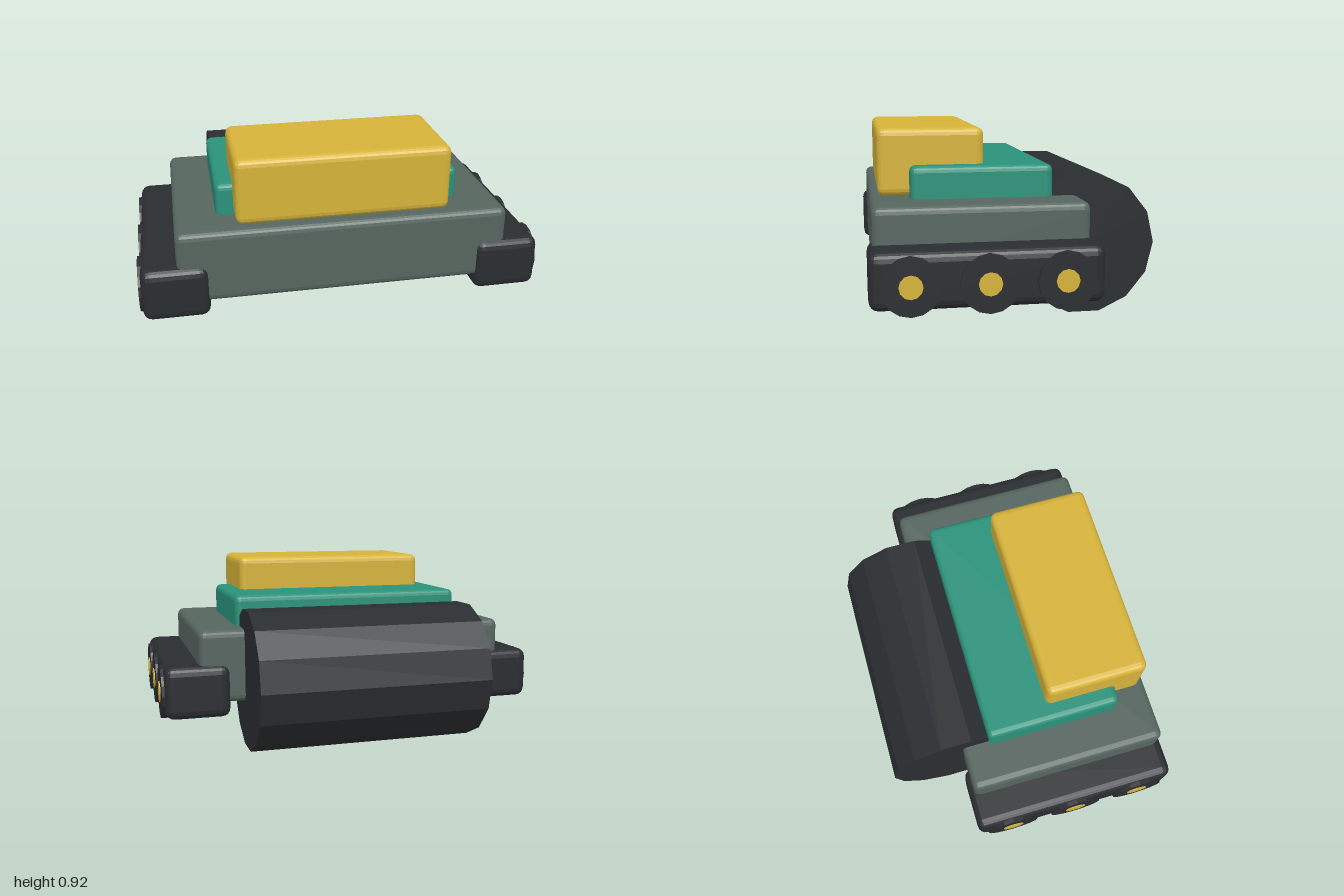
import * as THREE from 'three';
import { RoundedBoxGeometry } from 'three/addons/geometries/RoundedBoxGeometry.js';

const paint = (color) => new THREE.MeshStandardMaterial({ color, flatShading: true });

export function createModel() {
  const model = new THREE.Group();
  const dark = paint(0x2a2d30);
  const grey = paint(0x56655f);
  const teal = paint(0x2a927a);
  const yellow = paint(0xd6b33a);

  const add = (name, geometry, material, x, y, z) => {
    const mesh = new THREE.Mesh(geometry, material);
    mesh.name = name;
    mesh.position.set(x, y, z);
    model.add(mesh);
    return mesh;
  };

  // Bevelled block given by its extents on each axis
  const block = (name, material, [x0, x1], [y0, y1], [z0, z1], bevel) =>
    add(name, new RoundedBoxGeometry(x1 - x0, y1 - y0, z1 - z0, 2, bevel), material,
      (x0 + x1) / 2, (y0 + y1) / 2, (z0 + z1) / 2);

  // Cylinder lying along x
  const roller = (name, material, radius, width, sides, x, y, z) =>
    add(name, new THREE.CylinderGeometry(radius, radius, width, sides).rotateZ(Math.PI / 2), material, x, y, z);

  // Hull, deck and cab
  block('hull', grey, [-0.81, 0.81], [0.23, 0.595], [-0.325, 0.69], 0.035);
  block('deck', teal, [-0.605, 0.605], [0.53, 0.75], [-0.19, 0.5], 0.03);
  block('cab', yellow, [-0.52, 0.52], [0.6, 0.925], [0.135, 0.652], 0.035);

  // Large rear drum
  roller('rearDrum', dark, 0.355, 1.17, 14, 0, 0.348, -0.357);

  // Tracks with three wheels on each side
  for (const side of [1, -1]) {
    const label = side > 0 ? 'left' : 'right';
    const span = side > 0 ? [0.66, 0.982] : [-0.982, -0.66];
    block(label + 'Track', dark, span, [0.16, 0.425], [-0.352, 0.712], 0.045);
    [0.53, 0.181, -0.168].forEach((z, i) => {
      roller(`${label}Wheel${i + 1}`, dark, 0.135, 0.265, 16, side * 0.8625, 0.275, z);
      roller(`${label}Hub${i + 1}`, yellow, 0.054, 0.1, 12, side * 0.95, 0.275, z);
    });
  }
  return model;
}
